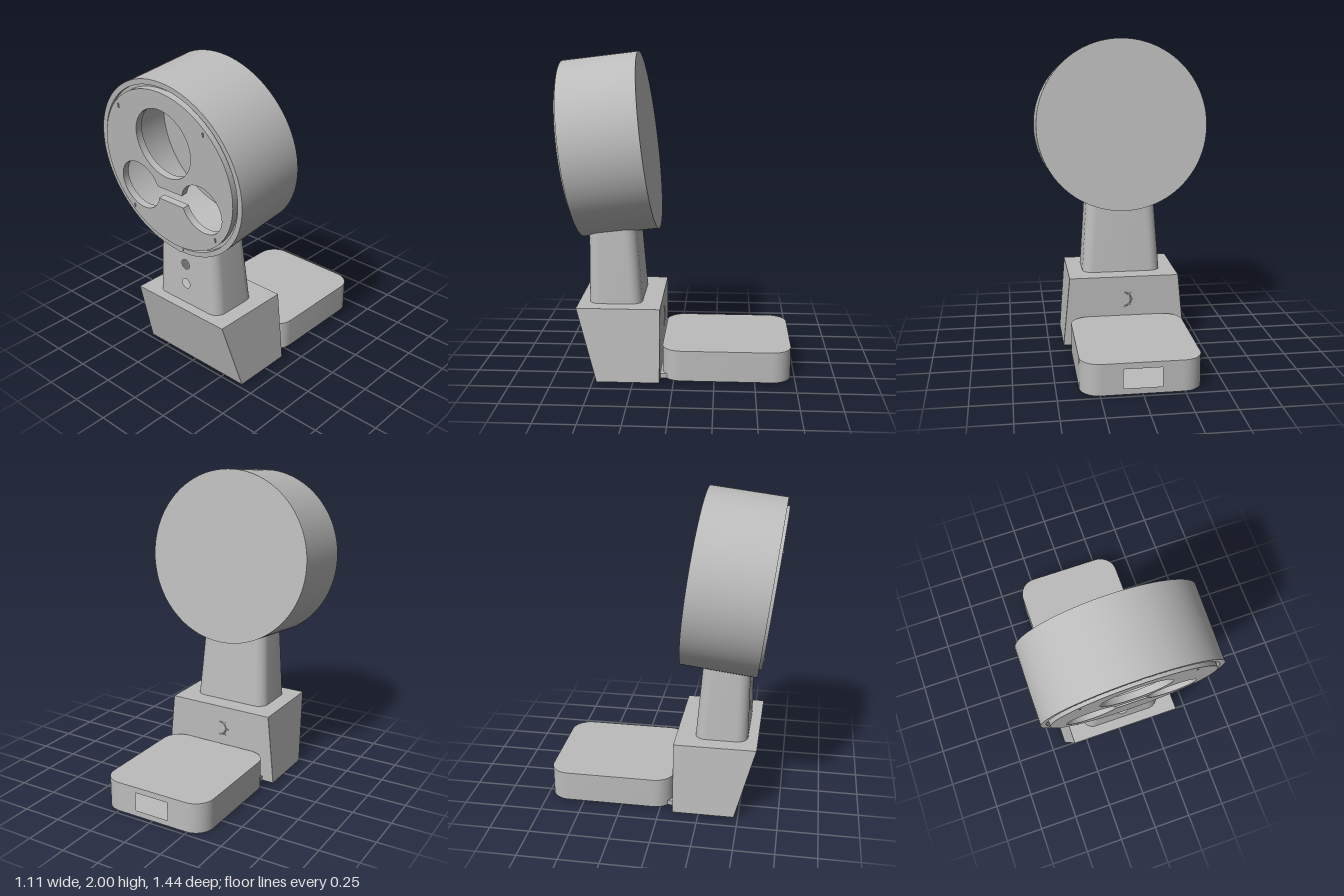
import * as THREE from 'three';
import { toCreasedNormals } from 'three/addons/utils/BufferGeometryUtils.js';

// Rounded rectangle outline at height y, starting and ending at the front flat
function ring(y, hw, zBack, zFront, r, n = 10) {
  const pts = [];
  const corners = [[1, 1, 90], [1, -1, 0], [-1, -1, -90], [-1, 1, -180]];
  for (const [sx, sz, start] of corners) {
    const cx = sx * (hw - r), cz = sz > 0 ? zFront - r : zBack + r;
    for (let i = 0; i <= n; i++) {
      const a = THREE.MathUtils.degToRad(start - (90 * i) / n);
      pts.push(new THREE.Vector3(cx + r * Math.cos(a), y, cz + r * Math.sin(a)));
    }
  }
  return pts;
}

// Skin between two outlines; the front flat and the bottom may be left open
function shell(low, high, { openFront = false, openBottom = false } = {}) {
  const v = [], n = low.length;
  const tri = (...ps) => ps.forEach(p => v.push(p.x, p.y, p.z));
  const centre = pts => pts.reduce((s, p) => s.add(p), new THREE.Vector3()).divideScalar(n);
  const cl = centre(low), ch = centre(high);
  for (let i = 0; i < n; i++) {
    const j = (i + 1) % n;
    tri(ch, high[i], high[j]);
    if (!openBottom) tri(cl, low[j], low[i]);
    if (openFront && j === 0) continue;
    tri(low[i], low[j], high[j]);
    tri(low[i], high[j], high[i]);
  }
  const g = new THREE.BufferGeometry();
  g.setAttribute('position', new THREE.Float32BufferAttribute(v, 3));
  g.computeVertexNormals();
  return toCreasedNormals(g, 0.6);
}

const polygon = pts => new THREE.Shape(pts.map(p => new THREE.Vector2(...p)));
const circlePath = (x, y, r) => new THREE.Path().absarc(x, y, r, 0, Math.PI * 2, true);
const rectPath = (x0, y0, x1, y1) =>
  new THREE.Path([[x0, y0], [x0, y1], [x1, y1], [x1, y0]].map(p => new THREE.Vector2(...p)));

export function createModel() {
  const model = new THREE.Group();
  const grey = new THREE.MeshStandardMaterial({ color: 0xbcbcbc, side: THREE.DoubleSide });
  grey.name = 'grey';
  const add = (name, geometry, parent = model, x = 0, y = 0, z = 0) => {
    const mesh = new THREE.Mesh(geometry, grey);
    mesh.name = name;
    mesh.position.set(x, y, z);
    parent.add(mesh);
    return mesh;
  };

  // Pedestal with a leaning front and a slot underneath
  const low = 0.003;
  add('pedestal', shell(ring(low, 0.405, 0.085, 0.475, 0.001, 1),
    ring(0.46, 0.36, 0.083, 0.6, 0.001, 1), { openBottom: true }));
  const floor = polygon([[-0.405, 0.085], [0.405, 0.085], [0.405, 0.475], [-0.405, 0.475]]);
  floor.holes.push(rectPath(-0.15, 0.4, 0.15, 0.45));
  add('pedestalFloor', new THREE.ShapeGeometry(floor), model, 0, low, 0).rotation.x = Math.PI / 2;

  // Half dial with rays on the pedestal's rear
  const dial = new THREE.Group();
  dial.name = 'dialMark';
  dial.position.set(0, 0.305, 0.083);
  model.add(dial);
  add('dialArc', new THREE.TorusGeometry(0.045, 0.005, 6, 24, Math.PI), dial).rotation.z = Math.PI / 2;
  for (let i = 0; i < 5; i++) {
    const a = Math.PI / 2 + (i * Math.PI) / 4;
    add('dialRay', new THREE.BoxGeometry(0.014, 0.005, 0.008), dial,
      0.06 * Math.cos(a), 0.06 * Math.sin(a), 0).rotation.z = a;
  }

  // Hollow neck with two round holes in its flat front
  const r = 0.07, zf = 0.535;
  add('neck', shell(ring(0.45, 0.26, 0.203, zf, r), ring(0.925, 0.228, 0.24, zf, r), { openFront: true }));
  const front = polygon([[-0.19, 0.45], [0.19, 0.45], [0.158, 0.925], [-0.158, 0.925]]);
  front.holes.push(circlePath(0, 0.6, 0.032), circlePath(0, 0.735, 0.032));
  add('neckFront', new THREE.ShapeGeometry(front, 24), model, 0, 0, zf);

  // Rear tray, built facing forward and turned round so its port faces the back
  const tray = new THREE.Group();
  tray.name = 'tray';
  tray.rotation.y = Math.PI;
  model.add(tray);
  add('trayBody', shell(ring(low, 0.363, -0.075, 0.725, 0.12), ring(0.197, 0.363, -0.075, 0.725, 0.12),
    { openFront: true }), tray);
  const rear = polygon([[-0.243, low], [0.243, low], [0.243, 0.197], [-0.243, 0.197]]);
  rear.holes.push(rectPath(-0.115, 0.04, 0.115, 0.16));
  add('trayPortWall', new THREE.ShapeGeometry(rear), tray, 0, 0, 0.725);
  add('trayConnector', new THREE.BoxGeometry(0.65, 0.03, 0.06), model, 0, 0.018, 0.06);

  // Underside plate and four feet
  add('bottomPlate', shell(ring(0.0015, 0.31, -0.68, 0.34, 0.07), ring(0.004, 0.31, -0.68, 0.34, 0.07)));
  for (const x of [-0.21, 0.21]) for (const z of [-0.6, 0.25])
    add('foot', new THREE.CylinderGeometry(0.068, 0.068, 0.004, 32), model, x, 0.002, z);

  // Round head, tipped slightly downward
  const head = new THREE.Group();
  head.name = 'head';
  head.position.set(0, 1.4225, 0.405);
  head.rotation.x = THREE.MathUtils.degToRad(6.9);
  model.add(head);
  const profile = [[0, -0.237], [0.555, -0.237], [0.555, 0.237], [0.523, 0.237], [0.523, 0.215],
    [0.49, 0.215], [0.49, -0.2], [0, -0.2]].map(p => new THREE.Vector2(...p));
  add('headShell', toCreasedNormals(new THREE.LatheGeometry(profile, 96), 0.6), head).rotation.x = Math.PI / 2;

  // Face plate with one large hole and two joined smaller holes
  const plate = new THREE.Shape().absarc(0, 0, 0.504, 0, Math.PI * 2);
  plate.holes.push(circlePath(0, 0.179, 0.215));
  const a = Math.asin(0.04 / 0.155), joined = new THREE.Path();
  joined.absarc(-0.25, -0.164, 0.155, a, Math.PI * 2 - a, false);
  joined.absarc(0.25, -0.164, 0.155, Math.PI + a, Math.PI * 3 - a, false);
  joined.closePath();
  plate.holes.push(joined);
  const plateGeometry = new THREE.ExtrudeGeometry(plate, { depth: 0.043, bevelEnabled: false, curveSegments: 48 });
  add('facePlate', toCreasedNormals(plateGeometry, 0.6), head, 0, 0, 0.212);

  // Small stud on the rim and four pins on the plate
  add('rimStud', new THREE.CylinderGeometry(0.03, 0.03, 0.03, 24), head, 0, -0.527, 0.226).rotation.x = Math.PI / 2;
  for (const x of [-0.335, 0.335]) for (const y of [-0.335, 0.335])
    add('platePin', new THREE.BoxGeometry(0.008, 0.025, 0.012), head, x, y, 0.254);

  return model;
}
